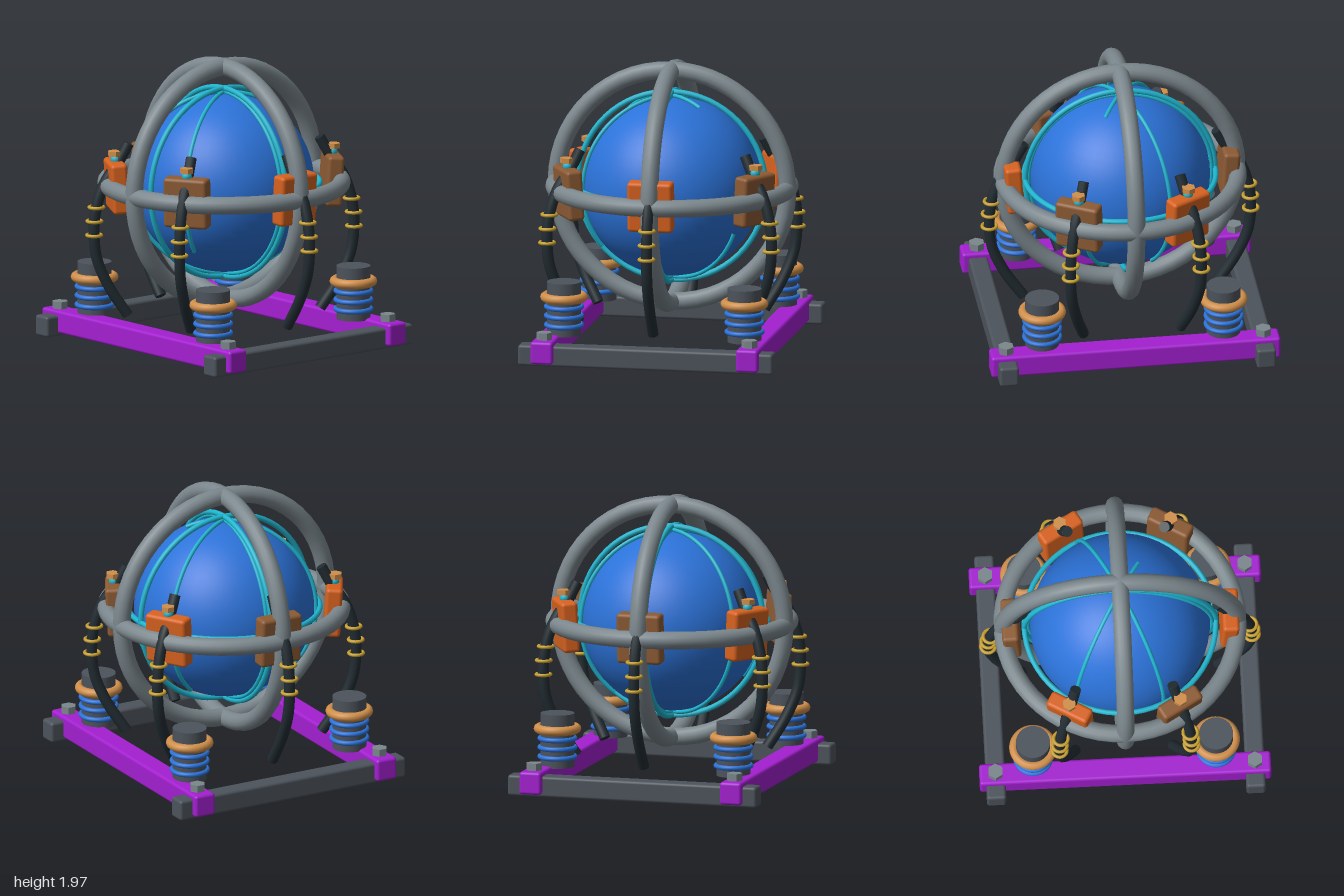
import * as THREE from 'three';
import { RoundedBoxGeometry } from 'three/addons/geometries/RoundedBoxGeometry.js';

const mat = (name, color) => new THREE.MeshStandardMaterial({ name, color });
const rad = THREE.MathUtils.degToRad;

export function createModel() {
  const steel = mat('steel grey', 0x7b878d), purple = mat('purple', 0xa31fd0);
  const dark = mat('dark grey', 0x4c535b), blue = mat('blue', 0x2b72d8);
  const cyan = mat('cyan', 0x1fb5cf), orange = mat('orange', 0xd8621f);
  const brown = mat('brown', 0x8d5b34), black = mat('hose black', 0x212c32);
  const gold = mat('gold', 0xc79f2f), tan = mat('copper', 0xd18f4a);

  const model = new THREE.Group();
  model.name = 'containmentSphere';
  const add = (parent, name, geo, material, x = 0, y = 0, z = 0) => {
    const m = new THREE.Mesh(geo, material);
    m.name = name;
    m.position.set(x, y, z);
    parent.add(m);
    return m;
  };
  const flatRing = (R, r, seg = 32) => new THREE.TorusGeometry(R, r, 10, seg).rotateX(Math.PI / 2);
  const hexPrism = (r, h) => new THREE.CylinderGeometry(r, r, h, 6).toNonIndexed();

  // Core ball and the three crossed cage rings, with thin inner rings
  const core = new THREE.Group();
  core.name = 'core';
  core.position.y = 1.105;
  model.add(core);
  add(core, 'ball', new THREE.SphereGeometry(0.617, 48, 32), blue);
  for (const [rx, ry] of [[0, 0], [0, Math.PI / 2], [Math.PI / 2, 0]]) {
    add(core, 'cageRing', new THREE.TorusGeometry(0.807, 0.061, 14, 56), steel).rotation.set(rx, ry, 0);
    add(core, 'innerRing', new THREE.TorusGeometry(0.657, 0.019, 10, 64), cyan).rotation.set(rx, ry, 0);
  }

  // Thin arcs wrapped over the ball: heading, start angle and sweep
  for (const [heading, start, sweep] of [[2, 0, 360], [64.7, -39, 270], [121.5, -156, 270]]) {
    const geo = new THREE.TorusGeometry(0.632, 0.014, 8, 64, rad(sweep));
    geo.rotateZ(rad(start)).rotateY(-rad(heading));
    add(core, 'coilArc', geo, cyan);
  }

  // Six clamps round the equator, each with a fitting and a drooping hose
  const hosePath = new THREE.CatmullRomCurve3([
    [0.665, 1.4], [0.73, 1.28], [0.83, 1.13], [0.888, 0.96], [0.905, 0.8],
    [0.885, 0.6], [0.8, 0.4], [0.67, 0.2],
  ].map(([x, y]) => new THREE.Vector3(x, y, 0)));
  const hoseGeo = new THREE.TubeGeometry(hosePath, 40, 0.038, 10);
  const hoseCap = (t, dir) => {
    const geo = new THREE.CircleGeometry(0.038, 10);
    const normal = hosePath.getTangentAt(t).multiplyScalar(dir);
    geo.applyQuaternion(new THREE.Quaternion().setFromUnitVectors(new THREE.Vector3(0, 0, 1), normal));
    const p = hosePath.getPointAt(t);
    return geo.translate(p.x, p.y, p.z);
  };
  // Radius of the hose path at a given height, for the hose bands
  const hoseRadius = (y) => {
    let best = hosePath.getPoint(0);
    for (const p of hosePath.getPoints(200)) if (Math.abs(p.y - y) < Math.abs(best.y - y)) best = p;
    return best.x;
  };
  for (let i = 0; i < 6; i++) {
    const unit = new THREE.Group();
    unit.name = 'clampUnit';
    unit.rotation.y = -i * Math.PI / 3;
    model.add(unit);
    const box = new RoundedBoxGeometry(0.115, 0.35, 0.315, 3, 0.025);
    add(unit, 'clamp', box, i % 2 ? brown : orange, 0.748, 1.107, 0).rotation.z = -0.06;
    add(unit, 'valveBall', new THREE.SphereGeometry(0.035, 16, 10), cyan, 0.755, 1.29, 0);
    const nut = hexPrism(0.048, 0.035);
    nut.computeVertexNormals();
    add(unit, 'valveNut', nut, tan, 0.762, 1.332, 0);
    add(unit, 'hose', hoseGeo, black);
    add(unit, 'hoseTopEnd', hoseCap(0, -1), black);
    add(unit, 'hoseBottomEnd', hoseCap(1, 1), black);
    for (const y of [0.96, 0.863, 0.765]) {
      add(unit, 'hoseBand', flatRing(0.05, 0.012, 24), gold, hoseRadius(y), y, 0);
    }
  }

  // Base frame: purple beams across, dark beams front to back
  for (const s of [-1, 1]) {
    add(model, 'crossBeam', new RoundedBoxGeometry(2, 0.157, 0.155, 3, 0.02), purple, 0, 0.099, s * 0.717);
    add(model, 'sideBeam', new RoundedBoxGeometry(0.133, 0.145, 1.78, 3, 0.02), dark, s * 0.89, 0.0725, 0);
  }

  // Corner bolts and spring mounts
  for (const sx of [-1, 1]) for (const sz of [-1, 1]) {
    const bolt = hexPrism(0.055, 0.06);
    bolt.computeVertexNormals();
    add(model, 'cornerBolt', bolt, steel, sx * 0.89, 0.198, sz * 0.717);
    const mount = new THREE.Group();
    mount.name = 'springMount';
    mount.position.set(sx * 0.628, 0, sz * 0.63);
    model.add(mount);
    add(mount, 'post', new THREE.CylinderGeometry(0.117, 0.117, 0.37, 32), dark, 0, 0.35, 0);
    add(mount, 'collar', flatRing(0.132, 0.032, 40), tan, 0, 0.427, 0);
    for (const y of [0.233, 0.297, 0.36]) add(mount, 'springCoil', flatRing(0.121, 0.017, 40), blue, 0, y, 0);
  }
  return model;
}
